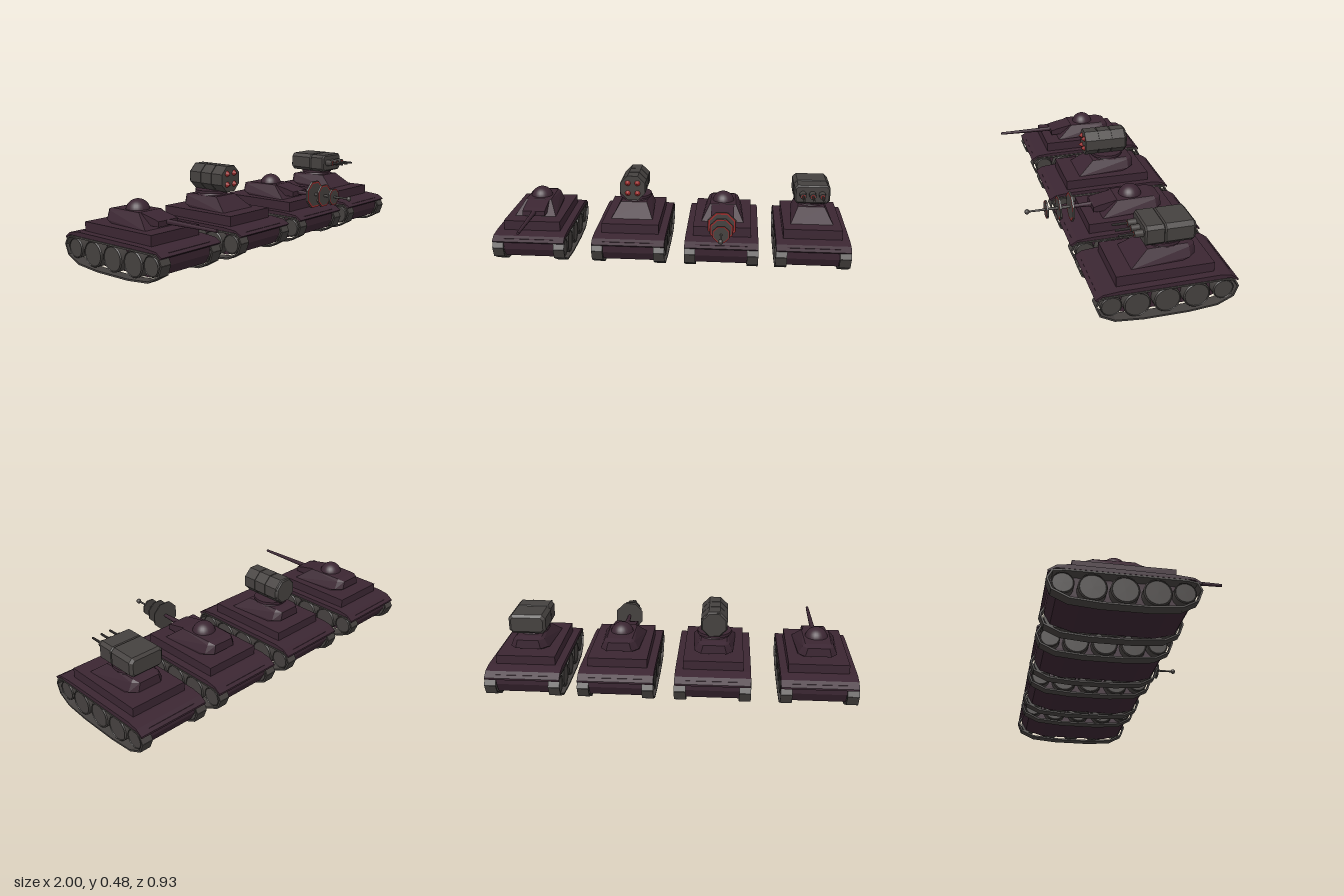
import * as THREE from 'three';
import { toCreasedNormals } from 'three/addons/utils/BufferGeometryUtils.js';
import { ConvexGeometry } from 'three/addons/geometries/ConvexGeometry.js';

const mat = (name, color) => {
  const m = new THREE.MeshStandardMaterial({ color });
  m.name = name;
  return m;
};
const plum = mat('plum armour', 0x3b2632);
const gray = mat('gunmetal', 0x45413f);
const red = mat('red accent', 0x9a2c2c);

const GUN_Y = 0.27;
const TURRET_Z = -0.13;

function add(parent, name, geo, material, x = 0, y = 0, z = 0) {
  const m = new THREE.Mesh(geo, material);
  m.name = name;
  m.position.set(x, y, z);
  parent.add(m);
  return m;
}

// Side profile of [z, y] points, extruded across x and centred
function sideExtrude(points, width) {
  const shape = new THREE.Shape(points.map(([z, y]) => new THREE.Vector2(z, y)));
  const g = new THREE.ExtrudeGeometry(shape, { depth: width, bevelEnabled: false });
  return g.rotateY(-Math.PI / 2).translate(width / 2, 0, 0);
}

// Cylinder or cone along z, from z0 (back) to z1 (front)
function rod(r0, r1, z0, z1, sides = 12) {
  const g = new THREE.CylinderGeometry(r1, r0, z1 - z0, sides, 1, false, Math.PI / sides);
  return toCreasedNormals(g.rotateX(Math.PI / 2).translate(0, 0, (z0 + z1) / 2), 0.7);
}

// Running gear
const TRACK = [[0.258, 0.112], [0.238, 0.058], [0.164, 0.018], [0.02, 0.005], [-0.21, 0.005], [-0.357, 0.018],
  [-0.437, 0.056], [-0.459, 0.11], [-0.437, 0.15], [-0.38, 0.158], [0.19, 0.158], [0.24, 0.149]];
const WHEELS = [[0.181, 0.097, 0.054], [0.052, 0.086, 0.069], [-0.1, 0.086, 0.069], [-0.25, 0.086, 0.069], [-0.387, 0.097, 0.054]];

function wheelGeometry(r) {
  const profile = [[0, -0.025], [r, -0.025], [r, 0.02], [r * 0.92, 0.026], [r * 0.88, 0.022], [0, 0.022]];
  const g = new THREE.LatheGeometry(profile.map(p => new THREE.Vector2(...p)), 24);
  return toCreasedNormals(g.rotateZ(-Math.PI / 2), 0.5);
}

function runningGear(side) {
  const g = new THREE.Group();
  g.name = side > 0 ? 'leftTrack' : 'rightTrack';
  TRACK.forEach(([z, y], i) => {
    const [z2, y2] = TRACK[(i + 1) % TRACK.length];
    const len = Math.hypot(z2 - z, y2 - y);
    const link = add(g, 'trackLinks', new THREE.BoxGeometry(0.062, 0.009, len + 0.002), gray,
      side * 0.174, (y + y2) / 2, (z + z2) / 2);
    link.rotation.x = -Math.atan2(y2 - y, z2 - z);
  });
  for (const [z, y, r] of WHEELS) {
    const w = add(g, 'roadWheel', wheelGeometry(r), gray, side * 0.172, y, z);
    if (side < 0) w.rotation.y = Math.PI;
  }
  return g;
}

// Hull, deck and turret body shared by every vehicle
function baseTank(name, x) {
  const t = new THREE.Group();
  t.name = name;
  t.position.x = x;
  add(t, 'lowerHull', sideExtrude([[0.245, 0.165], [0.24, 0.1], [0.21, 0.05], [0.11, 0.02], [-0.3, 0.02],
    [-0.41, 0.055], [-0.44, 0.11], [-0.44, 0.165]], 0.288), plum);
  add(t, 'fenderDeck', sideExtrude([[0.263, 0.152], [0.225, 0.175], [0.14, 0.183], [-0.36, 0.188], [-0.42, 0.178],
    [-0.457, 0.152], [-0.457, 0.142], [-0.42, 0.164], [0.225, 0.164], [0.252, 0.143]], 0.408), plum);
  add(t, 'superstructure', new THREE.BoxGeometry(0.325, 0.06, 0.495), plum, 0, 0.207, -0.0975);
  t.add(runningGear(1), runningGear(-1));

  const corners = [
    [0.12, 0.235, 0.065], [0.105, 0.235, -0.2], [0.075, 0.235, -0.235],
    [0.105, 0.252, -0.24], [0.07, 0.252, -0.277], [0.085, 0.298, -0.24], [0.058, 0.3, -0.275],
    [0.075, 0.31, -0.03], [0.07, 0.31, -0.235],
  ];
  const pts = corners.flatMap(([a, b, c]) => [new THREE.Vector3(a, b, c), new THREE.Vector3(-a, b, c)]);
  add(t, 'turret', new ConvexGeometry(pts), plum);
  return t;
}

// Domed turret top with a gun mantlet
function addDome(t) {
  const dome = new THREE.SphereGeometry(0.064, 24, 10, 0, Math.PI * 2, 0, Math.PI / 2);
  add(t, 'cupolaDome', dome, plum, 0, 0.297, -0.12);
  add(t, 'mantlet', sideExtrude([[0.1, 0.252], [0.1, 0.28], [0.065, 0.29], [-0.03, 0.309], [-0.03, 0.252]], 0.13), plum);
}

// Turntable under a weapon pod
function addTurntable(t) {
  add(t, 'turntableNeck', new THREE.CylinderGeometry(0.08, 0.085, 0.014, 20), plum, 0, 0.315, TURRET_Z);
  add(t, 'turntable', new THREE.CylinderGeometry(0.095, 0.095, 0.016, 20), plum, 0, 0.329, TURRET_Z);
}

function cannonTank(x) {
  const t = baseTank('cannonTank', x);
  addDome(t);
  add(t, 'barrel', rod(0.014, 0.008, 0.09, 0.425), plum, 0, GUN_Y);
  return t;
}

function rocketTank(x) {
  const t = baseTank('rocketTank', x);
  addTurntable(t);
  const pod = new THREE.Group();
  pod.name = 'rocketPod';
  pod.position.y = 0.406;
  t.add(pod);
  add(pod, 'podCore', rod(0.074, 0.074, -0.235, 0, 8), gray);
  for (const [z0, z1] of [[-0.066, 0.01], [-0.145, -0.072], [-0.228, -0.151]])
    add(pod, 'podSection', rod(0.078, 0.078, z0, z1, 8), gray);
  add(pod, 'podTail', rod(0.068, 0.078, -0.242, -0.228, 8), gray);
  for (const sx of [-1, 1]) for (const sy of [-1, 1])
    add(pod, 'rocketTip', rod(0.018, 0.001, 0.008, 0.031, 10), red, sx * 0.028, sy * 0.03);
  return t;
}

function emitterTank(x) {
  const t = baseTank('emitterTank', x);
  addDome(t);
  add(t, 'emitterBase', rod(0.015, 0.009, 0.09, 0.21), plum, 0, GUN_Y);
  add(t, 'emitterRod', rod(0.009, 0.005, 0.2, 0.45), gray, 0, GUN_Y);
  add(t, 'emitterBall', new THREE.SphereGeometry(0.014, 16, 12), gray, 0, GUN_Y, 0.45);
  // Octagonal plates with a thin red rim on the front
  for (const [z, r] of [[0.212, 0.085], [0.277, 0.069], [0.345, 0.051]]) {
    add(t, 'emitterPlate', rod(r, r * 0.96, z - 0.005, z + 0.005, 8), gray, 0, GUN_Y);
    const rim = new THREE.RingGeometry(r * 0.84, r * 0.96, 8, 1, Math.PI / 8);
    add(t, 'emitterRim', rim, red, 0, GUN_Y, z + 0.006);
  }
  return t;
}

// Chamfered block along z
function podBlock(w, h, z0, z1, bevel) {
  const a = w / 2 - bevel, b = h / 2 - bevel, c = 0.012;
  const s = new THREE.Shape([[a, -b + c], [a, b - c], [a - c, b], [-a + c, b], [-a, b - c], [-a, -b + c],
    [-a + c, -b], [a - c, -b]].map(p => new THREE.Vector2(...p)));
  const g = new THREE.ExtrudeGeometry(s, { depth: z1 - z0 - 2 * bevel, bevelThickness: bevel, bevelSize: bevel, bevelSegments: 1 });
  return g.translate(0, 0, z0 + bevel);
}

function autocannonTank(x) {
  const t = baseTank('autocannonTank', x);
  addTurntable(t);
  add(t, 'gunHousingRear', podBlock(0.204, 0.108, -0.268, -0.102, 0.014), gray, 0, 0.389);
  add(t, 'gunHousingFront', podBlock(0.2, 0.106, -0.112, -0.01, 0.008), gray, 0, 0.389);
  for (const gx of [-0.054, 0, 0.054]) {
    add(t, 'gunSleeve', rod(0.02, 0.018, -0.015, 0.034), gray, gx, 0.391);
    add(t, 'gunSleeveRing', new THREE.RingGeometry(0.006, 0.012, 16), red, gx, 0.391, 0.035);
    add(t, 'gunBarrel', rod(0.007, 0.006, 0.03, 0.11, 10), gray, gx, 0.391);
  }
  return t;
}

export function createModel() {
  const model = new THREE.Group();
  model.name = 'tankSet';
  model.add(cannonTank(-0.795), rocketTank(-0.23), emitterTank(0.29), autocannonTank(0.795));
  return model;
}
